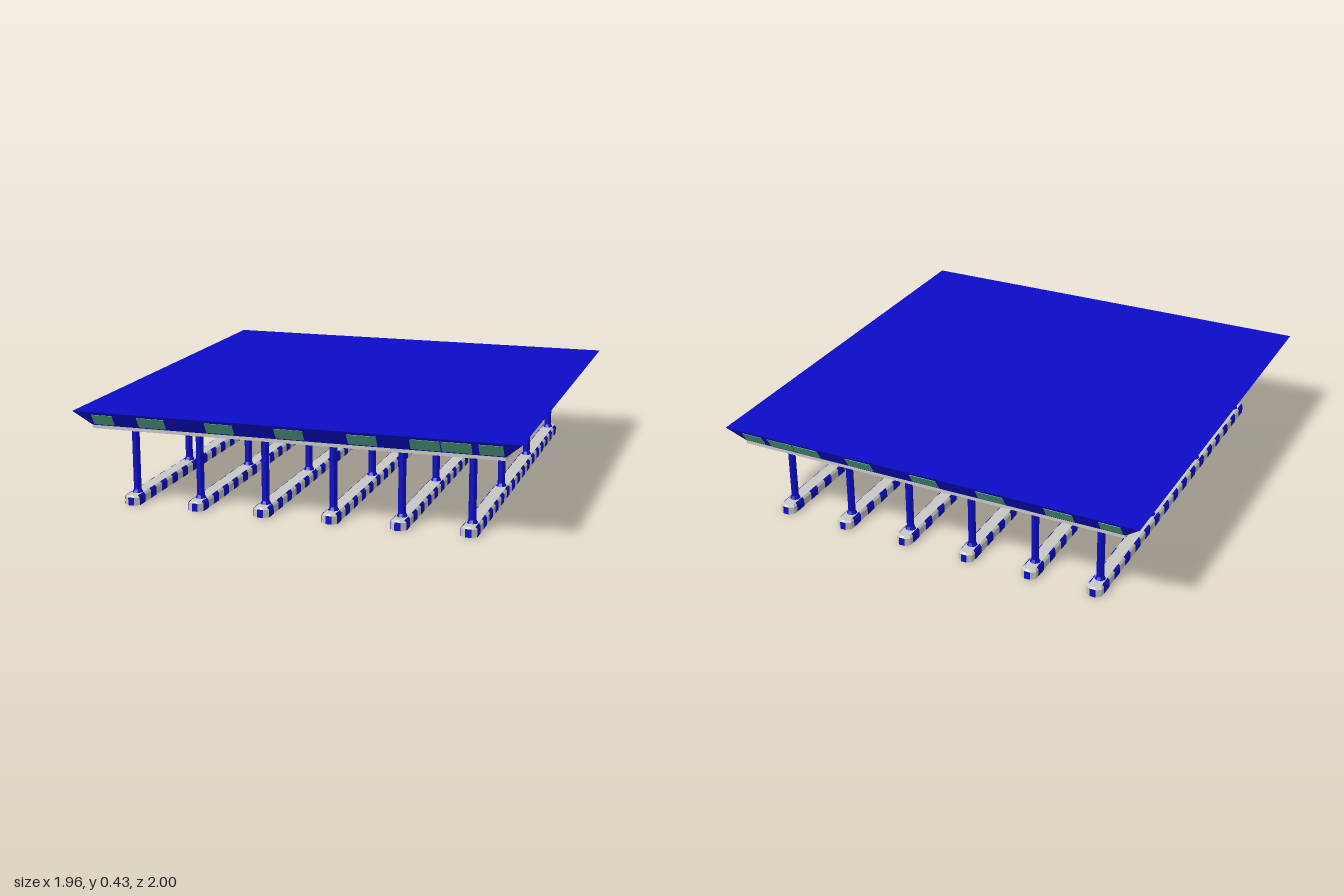
import * as THREE from 'three';
import { ConvexGeometry } from 'three/addons/geometries/ConvexGeometry.js';
import { mergeGeometries } from 'three/addons/utils/BufferGeometryUtils.js';

const material = (name, color, side = THREE.FrontSide) => {
  const m = new THREE.MeshStandardMaterial({ color, side });
  m.name = name;
  return m;
};

export function createModel() {
  const blue = material('blue', 0x0c0cc8);
  const lightGray = material('light gray', 0xc8c8c4);
  const darkGray = material('dark gray', 0x666666);
  const green = material('green', 0x52a686, THREE.DoubleSide);

  const model = new THREE.Group();
  model.name = 'canopy';
  const add = (parent, name, geometry, mat, x = 0, y = 0, z = 0) => {
    const mesh = new THREE.Mesh(geometry, mat);
    mesh.name = name;
    mesh.position.set(x, y, z);
    parent.add(mesh);
    return mesh;
  };

  // Roof: an upside-down truncated pyramid
  const roofPoints = [];
  for (const [y, x, z] of [[0.36, 0.905, 0.96], [0.425, 0.98, 1]])
    for (const sx of [-1, 1]) for (const sz of [-1, 1])
      roofPoints.push(new THREE.Vector3(sx * x, y, sz * z));
  add(model, 'roof', new ConvexGeometry(roofPoints), blue);

  // Ceiling slab with a dark underside
  add(model, 'ceilingSlab', new THREE.BoxGeometry(1.81, 0.015, 1.92),
    [lightGray, lightGray, lightGray, darkGray, lightGray, lightGray], 0, 0.3525, 0);

  // Lane signs on the sloping front and back fascias
  const signs = [[-0.895, -0.8], [-0.685, -0.56], [-0.375, -0.25], [-0.065, 0.06],
    [0.25, 0.375], [0.515, 0.64], [0.645, 0.77], [0.8, 0.9]];
  const slope = Math.atan2(0.04, 0.065);
  for (const side of [-1, 1])
    for (const [x0, x1] of signs) {
      const sign = add(model, 'laneSign', new THREE.BoxGeometry(x1 - x0, 0.055, 0.004), green,
        (x0 + x1) / 2, 0.389, side * 0.978);
      sign.rotation.x = side * slope;
    }

  // Traffic island: chamfered ends and a bevelled top edge
  const islandPoints = [];
  for (const [y, w, l] of [[0, 0.034, 0.925], [0.034, 0.034, 0.925], [0.043, 0.026, 0.917]])
    for (const sx of [-1, 1]) for (const sz of [-1, 1])
      islandPoints.push(new THREE.Vector3(sx * w, y, sz * (l - 0.016)),
        new THREE.Vector3(sx * (w - 0.02), y, sz * l));
  const islandGeometry = new ConvexGeometry(islandPoints);

  // Warning stripes wrap the sides and the bevel
  const band = new THREE.Shape([[0.034, 0], [0.0355, 0], [0.0355, 0.0345], [0.027, 0.0442],
    [0.026, 0.043], [0.034, 0.034]].map(([x, y]) => new THREE.Vector2(x, y)));
  const stripes = [];
  for (let i = 0; i < 16; i++) {
    const right = new THREE.ExtrudeGeometry(band, { depth: 0.055, bevelEnabled: false });
    const left = right.clone().rotateY(Math.PI);
    const z = 0.855 - i * 0.116;
    stripes.push(right.translate(0, 0, z), left.translate(0, 0, z + 0.055));
  }
  for (const side of [-1, 1])
    stripes.push(new THREE.BoxGeometry(0.026, 0.035, 0.003)
      .toNonIndexed().translate(0, 0.0175, side * 0.925));
  const stripeGeometry = mergeGeometries(stripes);

  // Octagonal columns on small flared feet
  const octagon = (top, bottom, height) =>
    new THREE.CylinderGeometry(top, bottom, height, 8).rotateY(Math.PI / 8).toNonIndexed();
  const columnGeometry = octagon(0.0165, 0.0165, 0.305);
  const footGeometry = octagon(0.0165, 0.024, 0.014);
  columnGeometry.computeVertexNormals();
  footGeometry.computeVertexNormals();

  for (const x of [-0.755, -0.455, -0.155, 0.15, 0.45, 0.75]) {
    const lane = new THREE.Group();
    lane.name = 'laneDivider';
    lane.position.x = x;
    model.add(lane);
    add(lane, 'island', islandGeometry, lightGray);
    add(lane, 'warningStripes', stripeGeometry, blue);
    for (const z of [0.855, 0.29, -0.28, -0.845]) {
      add(lane, 'column', columnGeometry, blue, 0, 0.1945, z);
      add(lane, 'columnFoot', footGeometry, blue, 0, 0.05, z);
    }
  }
  return model;
}
